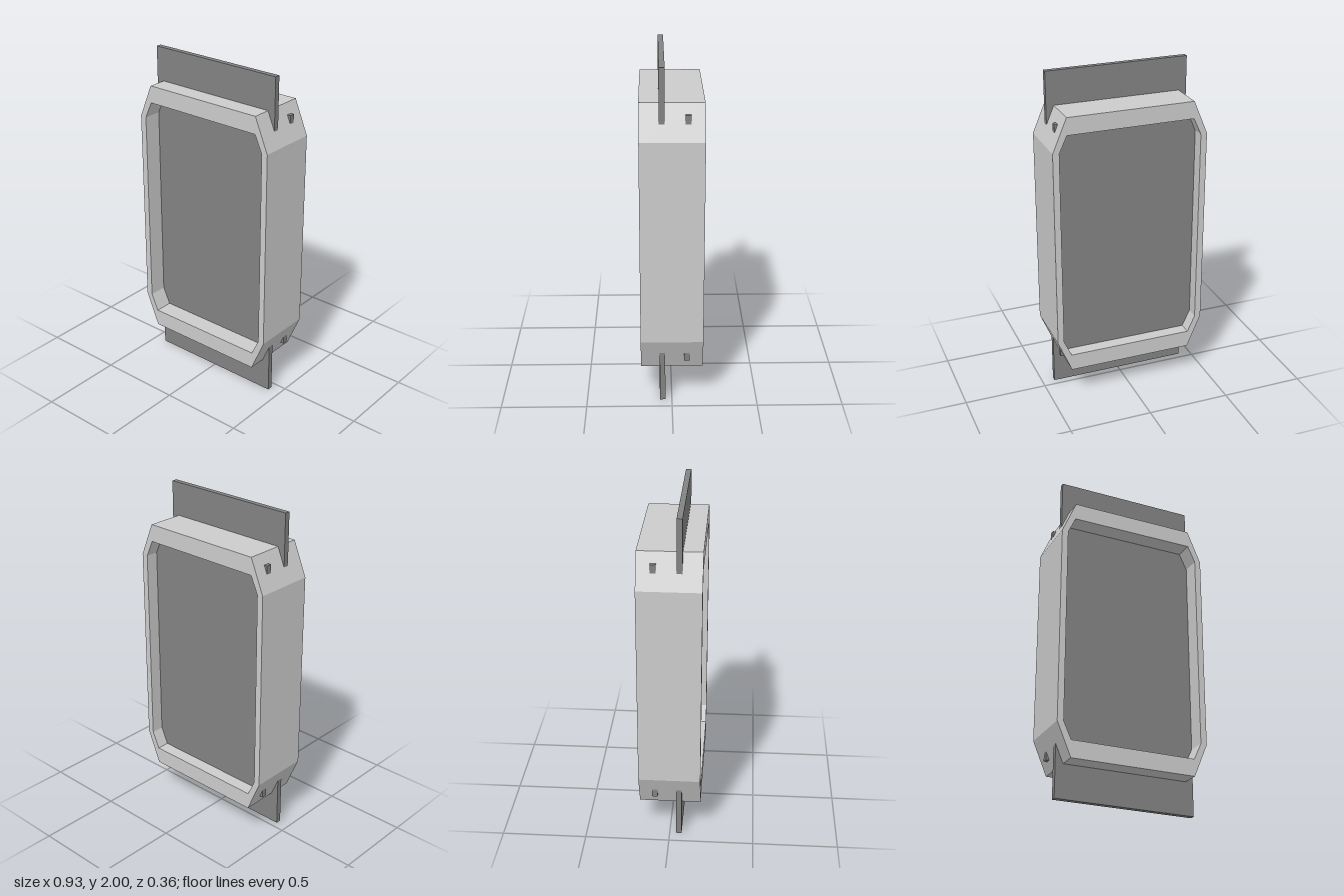
import * as THREE from 'three';

// Octagon outline, symmetric about x = 0 and y = 1
function octagon(Target, halfWidth, halfHeight, cornerX, cornerY) {
  const quarter = [[halfWidth, cornerY], [cornerX, halfHeight]];
  const points = [
    ...quarter,
    ...quarter.map(([x, y]) => [-x, y]).reverse(),
    ...quarter.map(([x, y]) => [-x, -y]),
    ...quarter.map(([x, y]) => [x, -y]).reverse(),
  ].map(([x, y]) => new THREE.Vector2(x, 1 + y));
  return new Target(points);
}

export function createModel() {
  const group = new THREE.Group();
  const frameMaterial = new THREE.MeshStandardMaterial({ color: 0xcccccc, flatShading: true });
  const panelMaterial = new THREE.MeshStandardMaterial({ color: 0x828282, flatShading: true });

  // Deep octagonal ring
  const depth = 0.362;
  const outline = octagon(THREE.Shape, 0.463, 0.8, 0.379, 0.6);
  outline.holes.push(octagon(THREE.Path, 0.425, 0.697, 0.379, 0.597));
  const frameGeometry = new THREE.ExtrudeGeometry(outline, { depth, bevelEnabled: false });
  frameGeometry.translate(0, 0, -depth / 2);
  const frame = new THREE.Mesh(frameGeometry, frameMaterial);
  frame.name = 'frame';
  group.add(frame);

  // Flat panels through the ring: the tall one extends above and below,
  // the short one only shows its corners through the chamfers
  const panels = [
    ['tallPanel', 2, 0.055],
    ['shortPanel', 1.48, -0.088],
  ];
  for (const [name, height, z] of panels) {
    const panel = new THREE.Mesh(new THREE.BoxGeometry(0.85, height, 0.032), panelMaterial);
    panel.name = name;
    panel.position.set(0, 1, z);
    group.add(panel);
  }
  return group;
}
